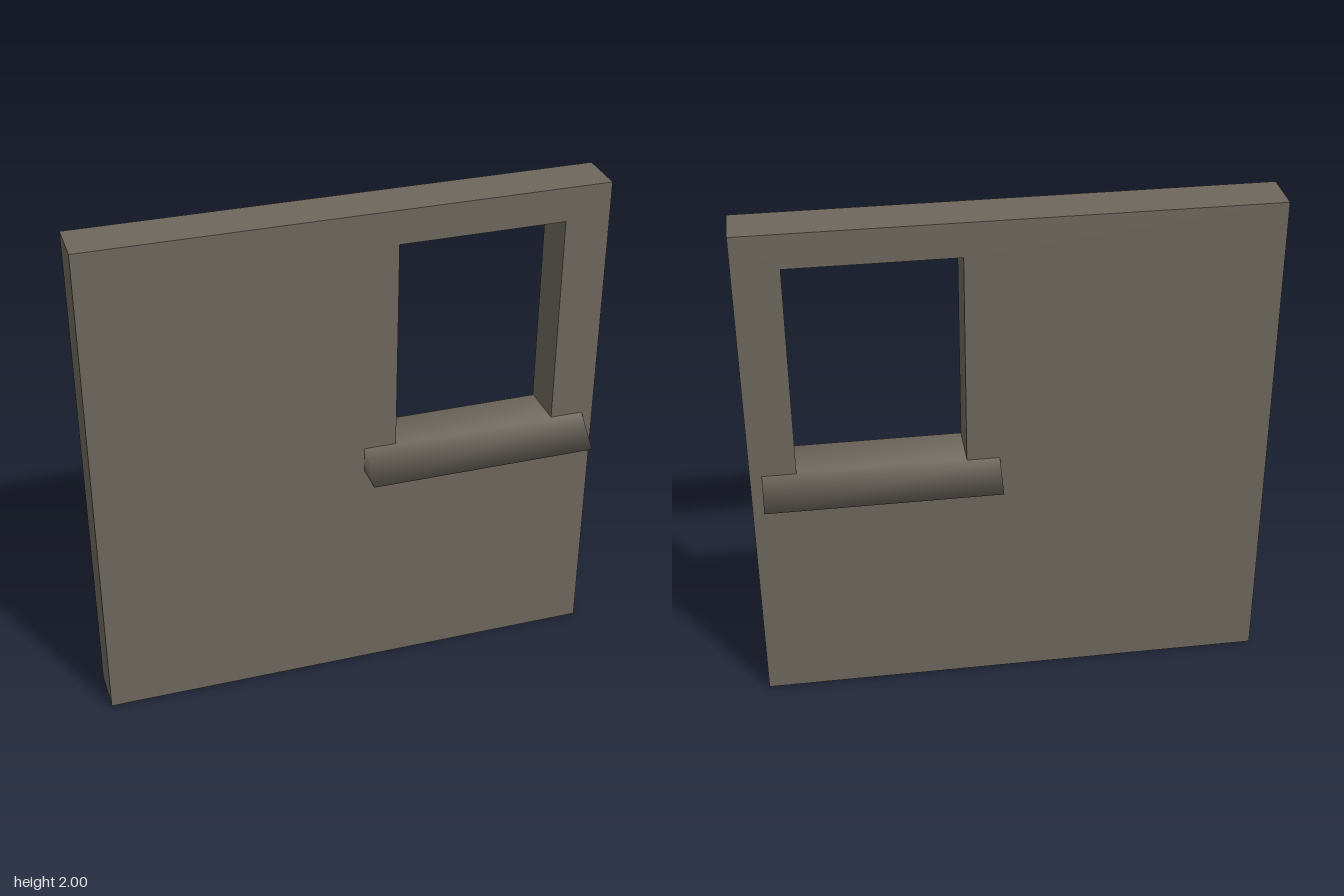
import * as THREE from 'three';
import { mergeVertices } from 'three/addons/utils/BufferGeometryUtils.js';

const WALL_BACK = -0.099, WALL_FRONT = 0.089;

// Rectangle outline as a list of points
function rect(x0, x1, y0, y1) {
  return [[x0, y0], [x1, y0], [x1, y1], [x0, y1]].map(([x, y]) => new THREE.Vector2(x, y));
}

// Flat wall slab with a window opening
function wallGeometry() {
  const shape = new THREE.Shape(rect(-1, 1, 0, 2));
  shape.holes.push(new THREE.Path(rect(0.18, 0.825, 1.0, 1.865)));
  const depth = WALL_FRONT - WALL_BACK;
  const geometry = new THREE.ExtrudeGeometry(shape, { depth, bevelEnabled: false });
  return geometry.translate(0, 0, WALL_BACK);
}

// Sill: a box flared at the bottom, shaded smoothly across its edges
function sillGeometry() {
  const box = new THREE.BoxGeometry(0.902, 0.1, 0.424);
  const pos = box.attributes.position;
  for (let i = 0; i < pos.count; i++) {
    if (pos.getY(i) > 0) pos.setZ(i, Math.sign(pos.getZ(i)) * 0.092);
  }
  box.deleteAttribute('normal');
  box.deleteAttribute('uv');
  const geometry = mergeVertices(box);
  geometry.computeVertexNormals();
  return geometry.translate(0.504, 0.97, 0);
}

export function createModel() {
  const stone = new THREE.MeshStandardMaterial({ color: 0x6e675d });
  stone.name = 'taupe stone';

  const group = new THREE.Group();
  group.name = 'wallWithWindow';
  const parts = { wall: wallGeometry(), windowSill: sillGeometry() };
  for (const [name, geometry] of Object.entries(parts)) {
    const mesh = new THREE.Mesh(geometry, stone);
    mesh.name = name;
    group.add(mesh);
  }
  return group;
}
